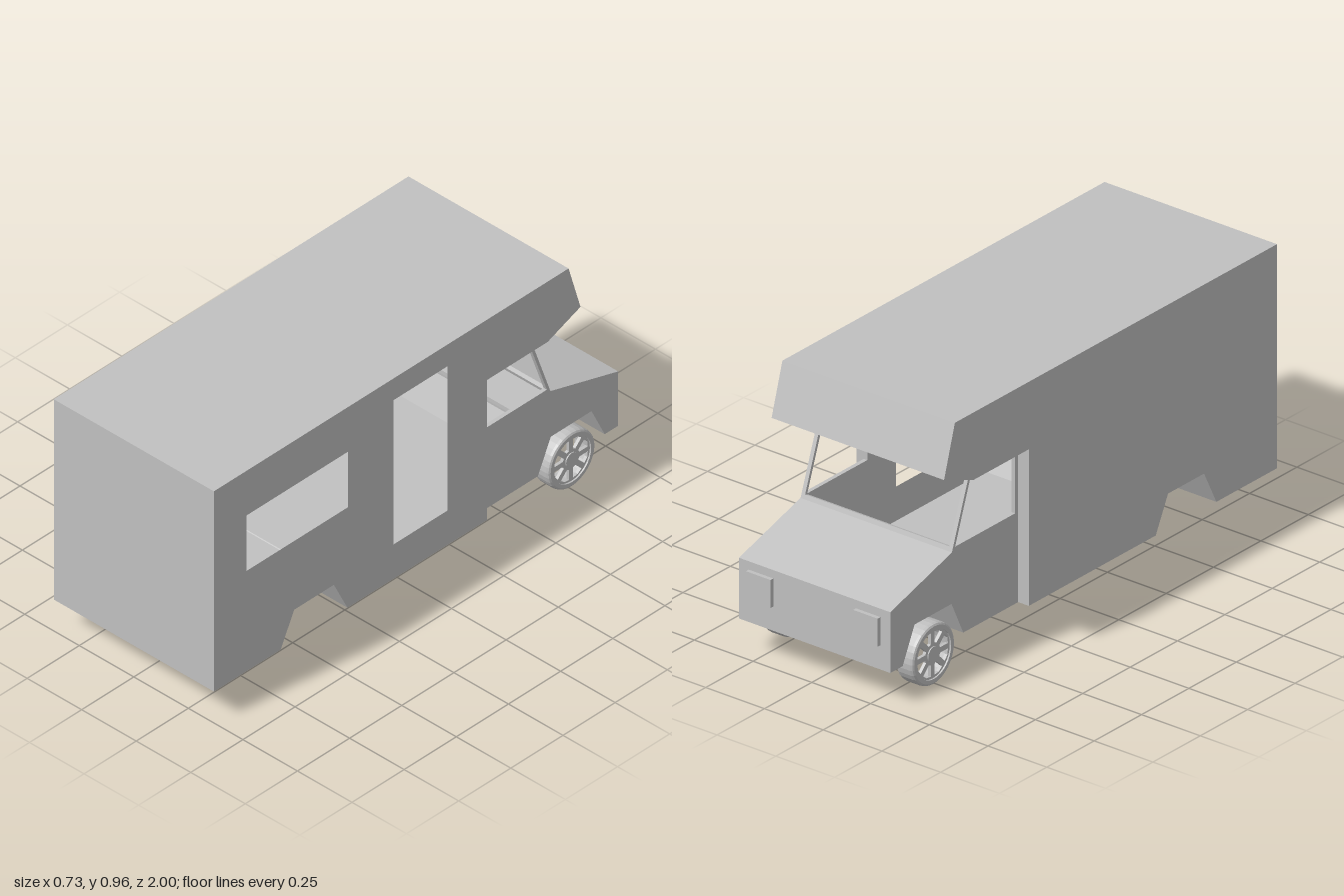
import * as THREE from 'three';

const paint = new THREE.MeshStandardMaterial({ color: 0xc0c0c0 });
paint.name = 'grey paint';

const T = 0.015; // panel thickness

// Profiles are lists of [z, y], running around the side silhouette.
const HOUSE_W = 0.367;
const HOUSE = [
  [1, 0.13], [1, 0.96], [-0.7, 0.96], [-0.757, 0.77], [-0.6, 0.71], [-0.31, 0.71],
  [-0.31, 0.13], [0.36, 0.13], [0.425, 0.26], [0.615, 0.26], [0.68, 0.13],
];
const CAB_W = 0.322;
const CAB = [
  [-0.31, 0.13], [-0.6, 0.13], [-0.662, 0.26], [-0.857, 0.26], [-0.92, 0.13], [-0.985, 0.13],
  [-0.985, 0.355], [-0.66, 0.45], [-0.567, 0.71], [-0.31, 0.71],
];

const rect = (z0, z1, y0, y1) => [[z0, y0], [z1, y0], [z1, y1], [z0, y1]];
const toPoints = (list) => list.map(([z, y]) => new THREE.Vector2(-z, y));

function addMesh(group, name, geometry) {
  const mesh = new THREE.Mesh(geometry, paint);
  mesh.name = name;
  group.add(mesh);
  return mesh;
}

function addBox(group, name, w, h, d, x, y, z) {
  const mesh = addMesh(group, name, new THREE.BoxGeometry(w, h, d));
  mesh.position.set(x, y, z);
  return mesh;
}

// Flat side panel cut from a profile, spanning x to x + T
function addSide(group, name, profile, holes, x) {
  const shape = new THREE.Shape(toPoints(profile));
  holes.forEach((h) => shape.holes.push(new THREE.Path(toPoints(h))));
  const geo = new THREE.ExtrudeGeometry(shape, { depth: T, bevelEnabled: false });
  geo.rotateY(Math.PI / 2);
  geo.translate(x, 0, 0);
  addMesh(group, name, geo);
}

// Panel across the body between two profile points, thickened inwards
// (inside is the side given by sign)
function addSkin(group, name, a, b, halfWidth, sign) {
  const dz = b[0] - a[0], dy = b[1] - a[1], len = Math.hypot(dz, dy);
  const nz = (-dy / len) * sign, ny = (dz / len) * sign;
  const panel = addBox(group, name, 2 * (halfWidth - T), T, len, 0,
    (a[1] + b[1]) / 2 + (ny * T) / 2, (a[0] + b[0]) / 2 + (nz * T) / 2);
  panel.rotation.x = -Math.atan2(dy, dz);
}

function buildHouse() {
  const house = new THREE.Group();
  house.name = 'livingCompartment';
  addSide(house, 'rightWall', HOUSE,
    [rect(0.358, 0.843, 0.545, 0.775), rect(-0.12, 0.14, 0.272, 0.87)], HOUSE_W - T);
  addSide(house, 'leftWall', HOUSE, [], -HOUSE_W);

  const names = ['backWall', 'roof', 'overcabFront', 'overcabSlope', 'overcabFloor', null,
    'floor', 'archFront', 'archTop', 'archRear', 'rearFloor'];
  names.forEach((name, i) => {
    if (name) addSkin(house, name, HOUSE[i], HOUSE[(i + 1) % HOUSE.length], HOUSE_W, 1);
  });

  // Narrow walls either side of the opening into the cab
  const w = HOUSE_W - T - CAB_W + T;
  for (const s of [-1, 1]) {
    addBox(house, 'frontWallStrip', w, 0.58, T, s * (CAB_W - T + w / 2), 0.42, -0.31 + T / 2);
  }
  return house;
}

function buildCab() {
  const cab = new THREE.Group();
  cab.name = 'cab';
  const sideWindow = [[-0.326, 0.465], [-0.643, 0.465], [-0.56, 0.695], [-0.326, 0.695]];
  addSide(cab, 'cabRightSide', CAB, [sideWindow], CAB_W - T);
  addSide(cab, 'cabLeftSide', CAB, [sideWindow], -CAB_W);

  ['cabFloor', 'wheelArchRear', 'wheelArchTop', 'wheelArchFront', 'noseFloor', 'nose', 'bonnet']
    .forEach((name, i) => addSkin(cab, name, CAB[i], CAB[i + 1], CAB_W, -1));

  // Windscreen frame: sill and header
  const [low, high] = [CAB[7], CAB[8]];
  const along = (t) => [low[0] + (high[0] - low[0]) * t, low[1] + (high[1] - low[1]) * t];
  addSkin(cab, 'windscreenSill', low, along(0.06), CAB_W, -1);
  addSkin(cab, 'windscreenHeader', along(0.94), high, CAB_W, -1);

  for (const s of [-1, 1]) {
    addBox(cab, 'headlight', 0.104, 0.104, 0.02, s * 0.228, 0.272, -0.99);
  }
  return cab;
}

function buildWheel(side) {
  const wheel = new THREE.Group();
  wheel.name = 'frontWheel';

  // Tyre and rim barrel
  const profile = [
    [0.104, -0.038], [0.11, -0.034], [0.1125, -0.025], [0.1125, 0.025], [0.11, 0.034],
    [0.104, 0.038], [0.09, 0.038], [0.09, -0.038], [0.104, -0.038],
  ].map(([r, y]) => new THREE.Vector2(r, y));
  const tyre = new THREE.LatheGeometry(profile, 32).toNonIndexed();
  tyre.computeVertexNormals();
  tyre.rotateZ(-Math.PI / 2);
  addMesh(wheel, 'tyre', tyre);

  // Spoked disc near the outer face
  const disc = new THREE.Shape().absarc(0, 0, 0.092, 0, Math.PI * 2);
  const count = 8;
  for (let i = 0; i < count; i++) {
    const a = ((i + 0.5) / count) * Math.PI * 2;
    const at = (r, d) => new THREE.Vector2(r * Math.cos(a + d), r * Math.sin(a + d));
    disc.holes.push(new THREE.Path([
      at(0.04, -0.14), at(0.081, -0.27), at(0.084, 0), at(0.081, 0.27), at(0.04, 0.14),
    ]));
  }
  const spokes = new THREE.ExtrudeGeometry(disc, { depth: 0.012, bevelEnabled: false, curveSegments: 16 });
  spokes.translate(0, 0, -0.006);
  spokes.rotateY(Math.PI / 2);
  addMesh(wheel, 'spokes', spokes).position.x = side * 0.026;

  const hub = new THREE.CylinderGeometry(0.028, 0.028, 0.02, 16);
  hub.rotateZ(Math.PI / 2);
  addMesh(wheel, 'hub', hub).position.x = side * 0.026;

  wheel.position.set(side * 0.289, 0.1125, -0.76);
  return wheel;
}

export function createModel() {
  const model = new THREE.Group();
  model.name = 'motorhome';
  model.add(buildHouse(), buildCab(), buildWheel(1), buildWheel(-1));
  return model;
}
